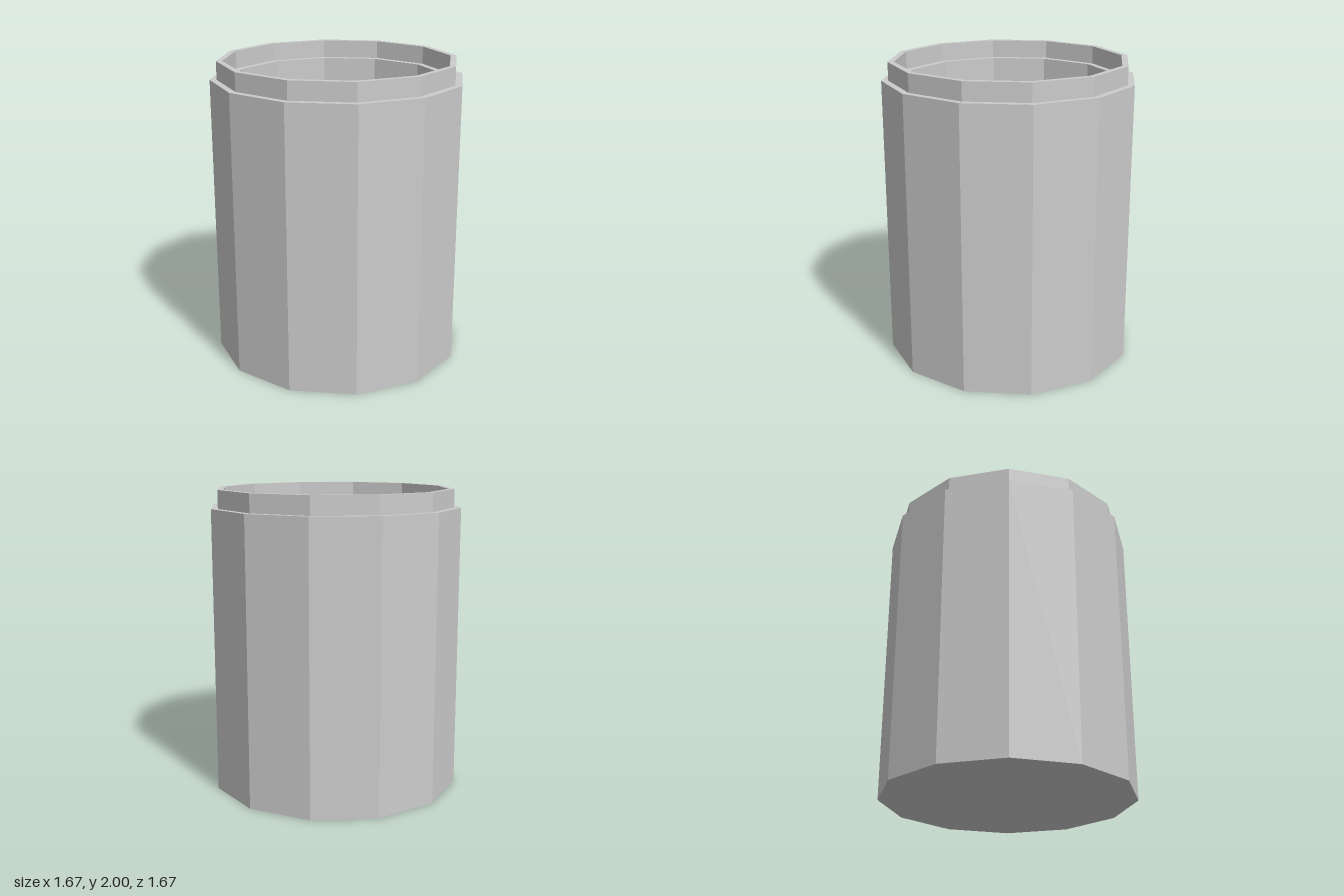
import * as THREE from 'three';

const SIDES = 12;
const R_BODY = 0.835, R_NECK = 0.79, R_MOUTH = 0.75, R_BORE = 0.705;
const Y_STEP = 1.88, Y_TOP = 2, Y_FLOOR = 0.12;

const material = new THREE.MeshStandardMaterial({ color: 0xcccccc, flatShading: true });

// Faceted ring of revolution; profile runs up the outside and down the inside
function turned(name, profile) {
  const points = profile.map(([r, y]) => new THREE.Vector2(r, y));
  const mesh = new THREE.Mesh(new THREE.LatheGeometry(points, SIDES), material);
  mesh.name = name;
  return mesh;
}

export function createModel() {
  const container = new THREE.Group();
  container.name = 'container';

  container.add(
    // Base, outer wall and shoulder
    turned('outerWall', [[0, 0], [R_BODY, 0], [R_BODY, Y_STEP], [R_NECK, Y_STEP]]),
    // Raised lip around the mouth
    turned('neckRim', [[R_NECK, Y_STEP], [R_NECK, Y_TOP], [R_MOUTH, Y_TOP], [R_MOUTH, Y_STEP]]),
    // Inner ledge, bore and floor
    turned('innerWall', [[R_MOUTH, Y_STEP], [R_BORE, Y_STEP], [R_BORE, Y_FLOOR], [0, Y_FLOOR]]),
  );
  return container;
}
